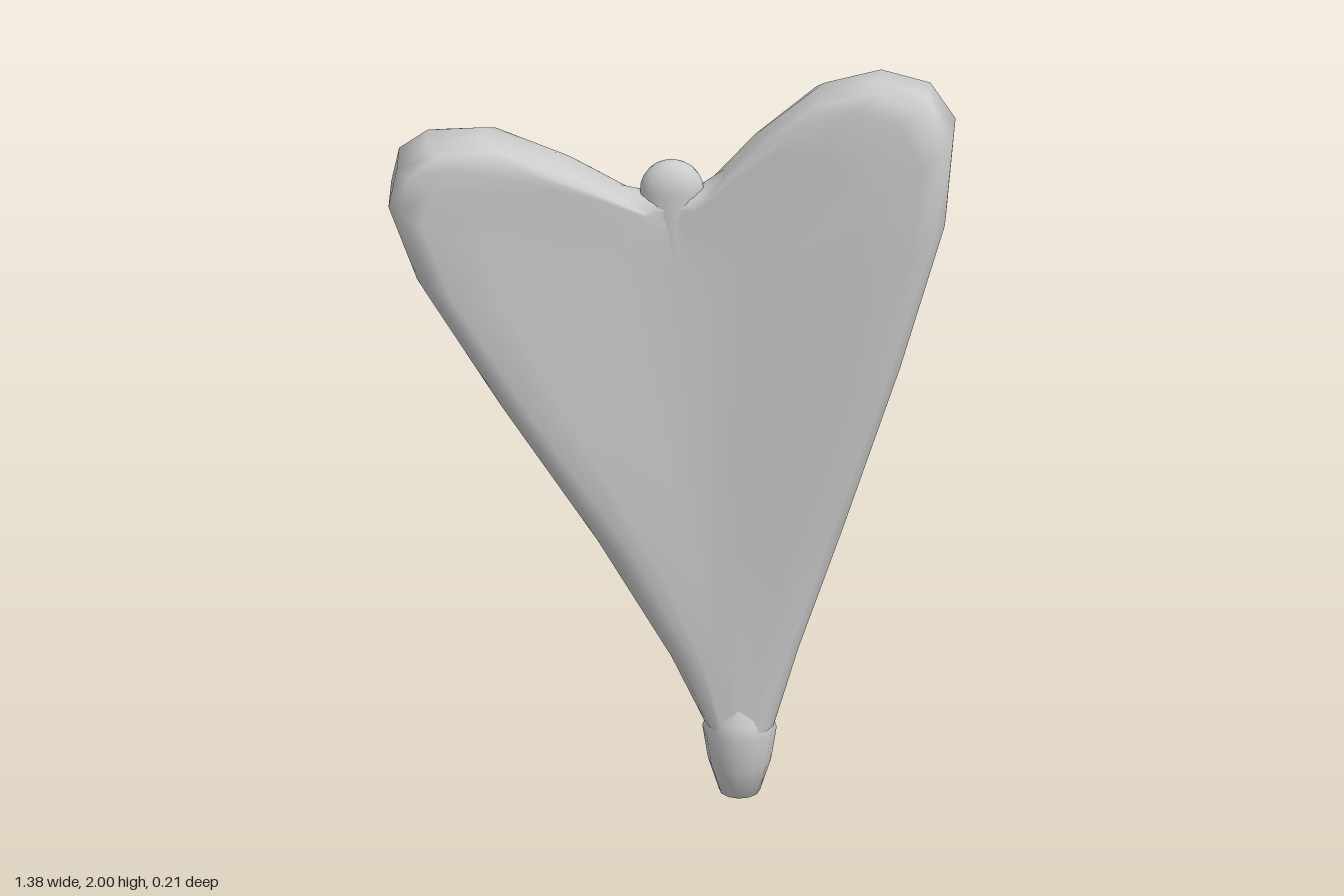
import * as THREE from 'three';
import { mergeVertices } from 'three/addons/utils/BufferGeometryUtils.js';

// Outline, anticlockwise from the lower right: x, y, rim half thickness, edge wall share
const OUTLINE = [
  [0.25, 0.22, 0.065, 0.5], [0.31, 0.43, 0.06, 0.45], [0.42, 0.77, 0.075, 0.5], [0.56, 1.22, 0.095, 0.55],
  [0.67, 1.62, 0.106, 0.6], [0.69, 1.85, 0.1, 0.65], [0.63, 1.96, 0.088, 0.45], [0.51, 2.0, 0.08, 0.33],
  [0.37, 1.96, 0.073, 0.35], [0.22, 1.83, 0.06, 0.4], [0.13, 1.72, 0.05, 0.45], [0.08, 1.68, 0.044, 0.5],
  [0, 1.66, 0.042, 0.5],
  [-0.08, 1.66, 0.044, 0.5], [-0.13, 1.67, 0.05, 0.45], [-0.28, 1.75, 0.065, 0.4], [-0.46, 1.815, 0.083, 0.35],
  [-0.6, 1.8, 0.095, 0.4], [-0.67, 1.74, 0.1, 0.55], [-0.69, 1.64, 0.104, 0.65], [-0.62, 1.44, 0.104, 0.6],
  [-0.42, 1.1, 0.095, 0.55], [-0.18, 0.72, 0.075, 0.5], [0, 0.4, 0.06, 0.45], [0.08, 0.23, 0.065, 0.5],
  [0.165, 0.12, 0.06, 0.5],
];
// Height on the central spine that each outline point runs to (mirrored for the other lobe)
const SPINE_Y = [0.2, 0.4, 0.65, 0.95, 1.2, 1.32, 1.4, 1.45, 1.5, 1.54, 1.57, 1.6, 1.6];

const lerp = THREE.MathUtils.lerp;
const spineX = (y) => 0.165 * (1.6 - y) / 1.4;
const spineZ = (y) => lerp(0.068, 0.042, Math.max(0, (y - 0.4) / 1.2));

// Half of a section, from the spine out to the edge
function halfSection(i) {
  const [x, y, rim, wall] = OUTLINE[i];
  const sy = i > 24 ? 0.2 : SPINE_Y[Math.min(i, 24 - i)];
  const sx = spineX(sy), sz = spineZ(sy);
  const length = Math.hypot(x - sx, y - sy);
  const inset = Math.min(0.09, length * 0.4) / length;
  const rows = [0, 0.25, 0.5, 0.75, 1].map((t) => [t * (1 - inset), lerp(sz, rim, t)]);
  rows.push([1 - inset * 0.35, rim * lerp(wall, 1, 0.62)], [1, rim * wall]);
  return rows.map(([s, z]) => [lerp(sx, x, s), lerp(sy, y, s), z]);
}

function bladeGeometry() {
  const positions = [], index = [];
  const count = OUTLINE.length;
  let rows = 0;
  for (let i = 0; i < count; i++) {
    const front = halfSection(i);
    const back = front.map(([x, y, z]) => [x, y, -z]).reverse();
    const section = [...front, ...back];
    rows = section.length;
    section.forEach((p) => positions.push(...p));
  }
  for (let i = 0; i < count; i++) {
    for (let j = 0; j < rows - 1; j++) {
      const a = i * rows + j, b = ((i + 1) % count) * rows + j;
      index.push(a, a + 1, b + 1, a, b + 1, b);
    }
  }
  const geometry = new THREE.BufferGeometry();
  geometry.setAttribute('position', new THREE.Float32BufferAttribute(positions, 3));
  geometry.setIndex(index);
  const merged = mergeVertices(geometry, 1e-4);
  merged.computeVertexNormals();
  return merged;
}

export function createModel() {
  const group = new THREE.Group();
  const material = new THREE.MeshStandardMaterial({ color: 0xcccccc });
  const add = (name, geometry) => {
    const mesh = new THREE.Mesh(geometry, material);
    mesh.name = name;
    group.add(mesh);
    return mesh;
  };

  // Two-lobed blade with thick rims and a shallow central valley
  add('blade', bladeGeometry());

  // Rounded bulb at the lower tip
  const profile = [[0, 0], [0.05, 0.025], [0.077, 0.11], [0.091, 0.2], [0.08, 0.23], [0.06, 0.3], [0, 0.36]]
    .map(([r, y]) => new THREE.Vector2(r, y));
  add('tipBulb', new THREE.LatheGeometry(profile, 12)).position.x = 0.165;

  // Small flattened nub in the notch, fading into the valley
  const nub = add('notchNub', new THREE.CapsuleGeometry(0.078, 0.16, 6, 16));
  nub.scale.z = 0.58;
  nub.position.set(0.004, 1.593, 0);
  nub.rotation.z = 0.05;

  return group;
}
